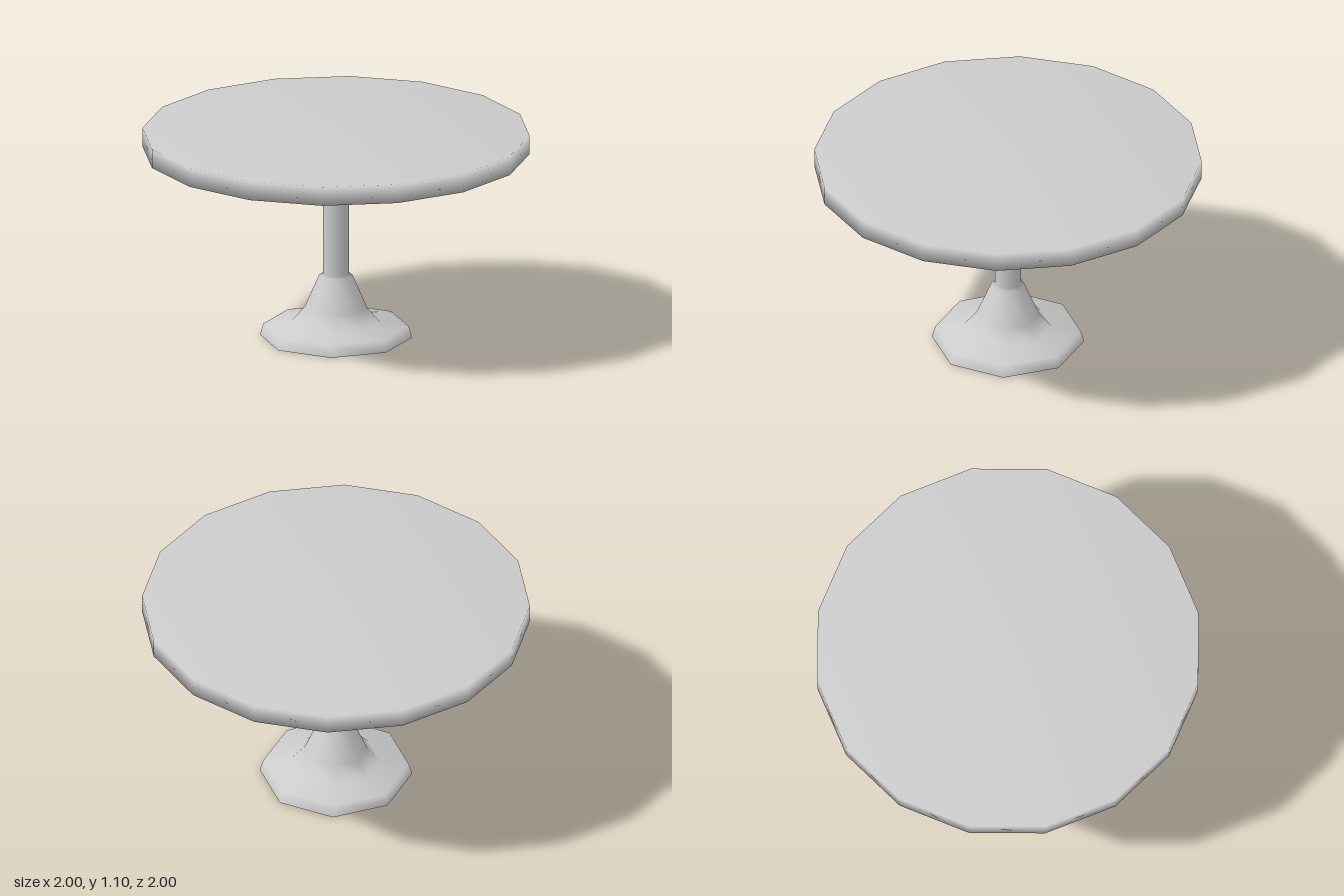
import * as THREE from 'three';

const material = new THREE.MeshStandardMaterial({ color: 0xcccccc, side: THREE.DoubleSide });

// Smooth-shaded turned part from [radius, height] pairs, listed bottom to top
function turned(name, profile, sides, phiStart = 0) {
  const points = profile.map(([r, y]) => new THREE.Vector2(r, y));
  const mesh = new THREE.Mesh(new THREE.LatheGeometry(points, sides, phiStart), material);
  mesh.name = name;
  return mesh;
}

export function createModel() {
  const group = new THREE.Group();
  group.name = 'pedestalTable';

  // Sixteen-sided top with softly shaded rim
  group.add(turned('tableTop', [[0, 1], [1, 1], [1, 1.1], [0, 1.1]], 16));

  // Octagonal parts have flats facing the axes: profile radii are measured to the flats
  const sides = 8;
  const toCorner = 1 / Math.cos(Math.PI / sides);
  const octagonal = (name, profile) =>
    turned(name, profile.map(([r, y]) => [r * toCorner, y]), sides, Math.PI / sides);

  // Hollow flared foot, open underneath, running up into the column
  group.add(octagonal('pedestal', [
    [0.363, 0], [0.347, 0.06], [0.208, 0.085], [0.15, 0.155],
    [0.08, 0.33], [0.063, 0.338], [0.063, 1],
  ]));

  return group;
}
